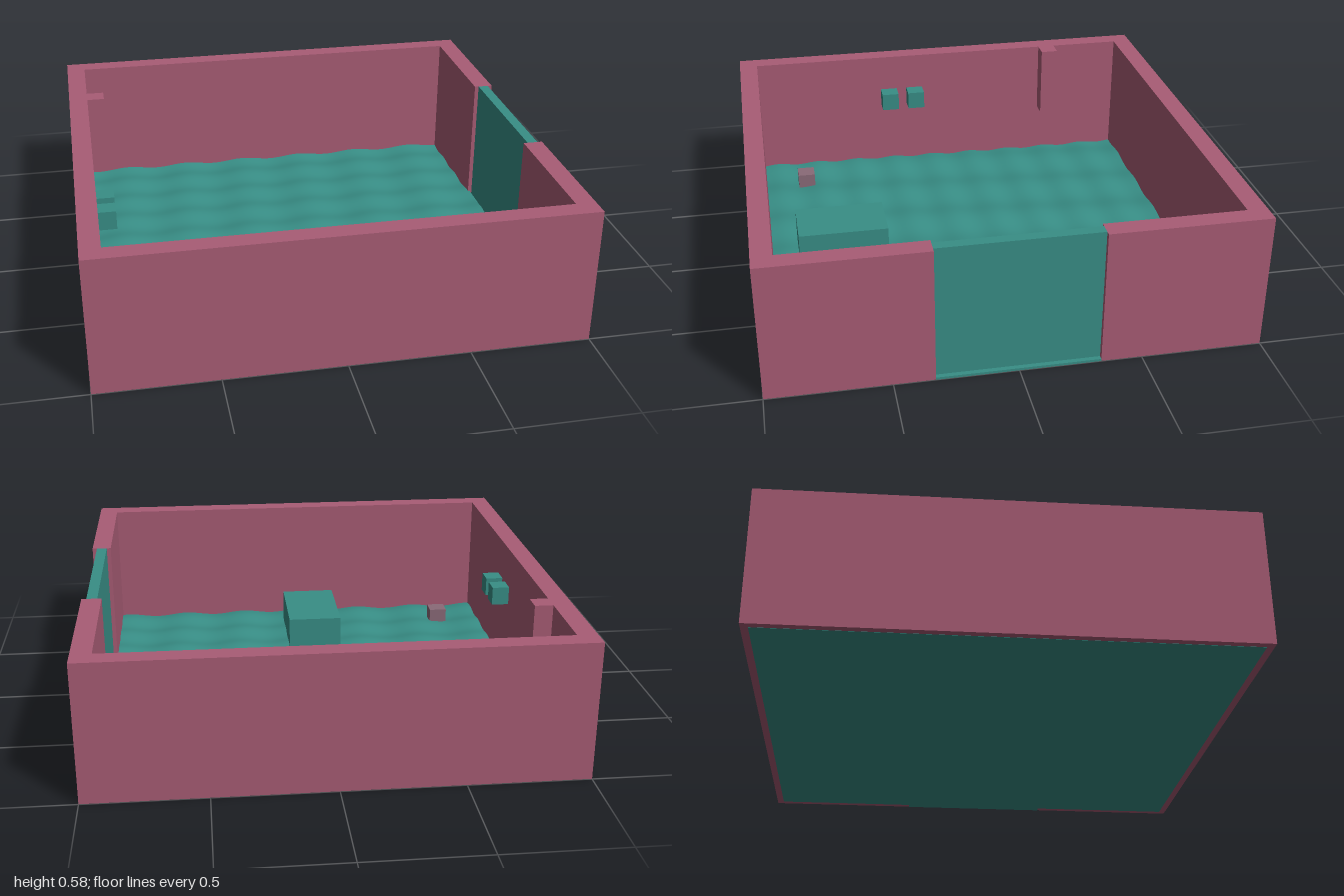
import * as THREE from 'three';

const paint = (name, color) => {
  const m = new THREE.MeshStandardMaterial({ color });
  m.name = name;
  return m;
};

export function createModel() {
  const model = new THREE.Group();
  const rose = paint('rose', 0xa85c75);
  const teal = paint('teal', 0x388e86);
  const mauve = paint('mauve', 0x8a6a78);

  const add = (name, geometry, material) => {
    const mesh = new THREE.Mesh(geometry, material);
    mesh.name = name;
    model.add(mesh);
    return mesh;
  };
  // Box given by its lower and upper corners
  const box = (name, material, [x0, y0, z0], [x1, y1, z1]) =>
    add(name, new THREE.BoxGeometry(x1 - x0, y1 - y0, z1 - z0), material)
      .position.set((x0 + x1) / 2, (y0 + y1) / 2, (z0 + z1) / 2);

  const H = 0.583, IN = 0.917, GAP = 0.333;

  // Surrounding wall with a doorway on the +x side
  const plan = new THREE.Shape([
    [1, GAP], [1, 1], [-1, 1], [-1, -1], [1, -1], [1, -GAP],
    [IN, -GAP], [IN, -IN], [-IN, -IN], [-IN, IN], [IN, IN], [IN, GAP],
  ].map(([x, y]) => new THREE.Vector2(x, y)));
  const wall = new THREE.ExtrudeGeometry(plan, { depth: H - 0.001, bevelEnabled: false });
  wall.rotateX(-Math.PI / 2).translate(0, 0.001, 0);
  add('wall', wall, rose);

  // Floor slab with a gently rippled top
  box('floorSlab', teal, [-0.97, 0, -0.97], [0.97, 0.006, 0.97]);
  const ripple = new THREE.PlaneGeometry(1.85, 1.85, 64, 96).rotateX(-Math.PI / 2);
  const p = ripple.attributes.position;
  for (let i = 0; i < p.count; i++) {
    const x = p.getX(i), z = p.getZ(i);
    p.setY(i, 0.021 + 0.005 * Math.sin(z * Math.PI * 10) + 0.007 * Math.sin(x * 21 + z * 2));
  }
  ripple.computeVertexNormals();
  add('floorSurface', ripple, teal);

  // Door panel and its sill
  box('doorSill', teal, [IN, 0, -GAP], [1, 0.01, GAP]);
  box('doorPanel', teal, [0.935, 0.005, -GAP], [0.98, H, GAP]);

  // Low chest on the floor
  box('chest', teal, [-0.167, 0.005, 0.4], [0.083, 0.167, 0.8]);

  // Wall fittings on the -x side
  box('wallPost', rose, [-IN, 0.25, -0.595], [-0.84, H, -0.515]);
  for (const z of [0.095, 0.225])
    box('wallBlock', teal, [-IN, 0.327, z], [-0.84, 0.41, z + 0.081]);

  // Small block in the corner
  box('floorBlock', mauve, [-0.75, 0, 0.68], [-0.667, 0.083, 0.76]);

  return model;
}
